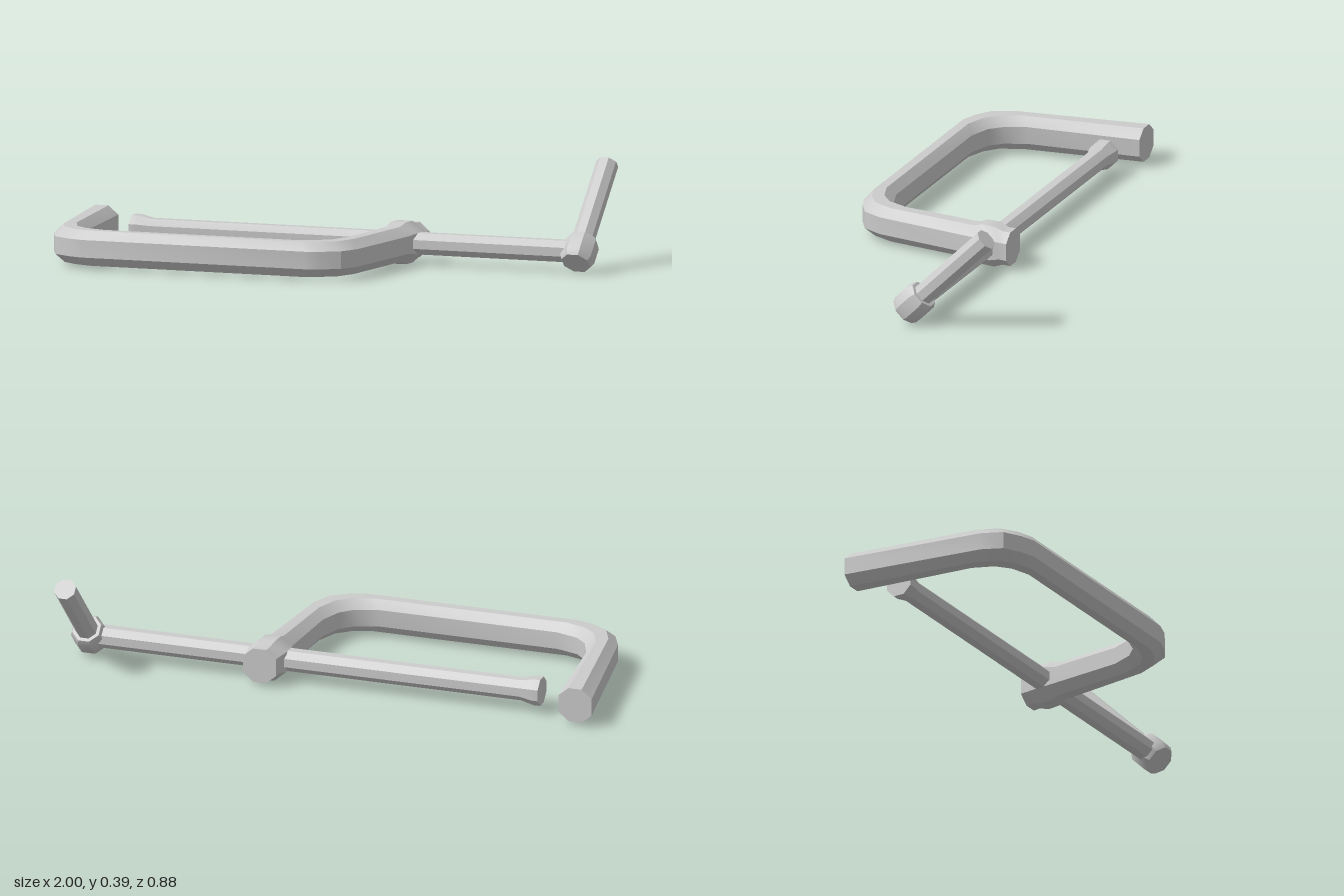
import * as THREE from 'three';
import { toCreasedNormals } from 'three/addons/utils/BufferGeometryUtils.js';

const MID_Y = 0.077, SCREW_Z = -0.127, FRAME_X = -0.337;
const material = new THREE.MeshStandardMaterial({ color: 0xcccccc });

function addMesh(parent, name, geometry) {
  const mesh = new THREE.Mesh(toCreasedNormals(geometry, 0.6), material);
  mesh.name = name;
  parent.add(mesh);
  return mesh;
}

// Closed solid through equal-sized rings of points, capped at both ends
function loft(rings) {
  const n = rings[0].length, index = [];
  for (let k = 0; k < rings.length - 1; k++) {
    for (let i = 0; i < n; i++) {
      const j = (i + 1) % n, a = k * n + i, b = k * n + j;
      index.push(a, b, b + n, a, b + n, a + n);
    }
  }
  const last = (rings.length - 1) * n;
  for (let i = 1; i < n - 1; i++) index.push(0, i + 1, i, last, last + i, last + i + 1);
  const geometry = new THREE.BufferGeometry();
  geometry.setAttribute('position', new THREE.Float32BufferAttribute(rings.flat(2), 3));
  geometry.setIndex(index);
  return geometry;
}

// Eight-sided turned bar along +y; profile is [flat radius, height] pairs
function octBar(profile) {
  const k = 1 / Math.cos(Math.PI / 8);
  return loft(profile.map(([r, y]) => Array.from({ length: 8 }, (_, i) => {
    const a = -(i + 0.5) * Math.PI / 4;
    return [r * k * Math.cos(a), y, r * k * Math.sin(a)];
  })));
}

// U-shaped frame: octagon sections spanning its outer and inner outlines
function frameGeometry() {
  const octagon = [[1, -0.5], [1, 0.5], [0.4, 1], [-0.4, 1], [-1, 0.5], [-1, -0.5], [-0.4, -1], [0.4, -1]];
  // [outer x, outer z, inner x, inner z], x measured from the frame's middle
  const half = [
    [0.663, -0.22, 0.537, -0.22],
    [0.585, 0.31, 0.50, 0.203],
    [0.55, 0.385, 0.468, 0.283],
    [0.485, 0.422, 0.425, 0.326],
    [0.43, 0.44, 0.34, 0.353],
  ];
  // Swelling of the left arm where the screw passes through
  const boss = [[-0.07, 1], [-0.105, 1.19], [-0.155, 1.19], [-0.19, 1]].map(([z, s]) =>
    [0.663 - 0.147 * (z + 0.22), z, 0.537 - 0.087 * (z + 0.22), z, s]);
  const mirrored = ([ox, oz, ix, iz]) => [-ox, oz, -ix, iz];
  const right = half.map(mirrored);
  const left = [...half].reverse();
  left.splice(-1, 0, ...boss);
  return loft([...right, ...left].map(([ox, oz, ix, iz, s = 1]) => octagon.map(([u, v]) => [
    FRAME_X + (ox + ix) / 2 + u * s * (ix - ox) / 2,
    MID_Y + v * s * 0.064,
    (oz + iz) / 2 + u * s * (iz - oz) / 2,
  ])));
}

export function createModel() {
  const model = new THREE.Group();
  model.name = 'clamp';

  addMesh(model, 'frame', frameGeometry());

  // Screw along x with a flared pressing pad
  const screw = addMesh(model, 'screw', octBar([[0.05, -0.78], [0.05, -0.755], [0.039, -0.705], [0.039, 0.92]]));
  screw.rotation.z = -Math.PI / 2;
  screw.position.set(0, MID_Y, SCREW_Z);

  // Tilted turning handle with its barrel-shaped hub
  const handle = new THREE.Group();
  handle.name = 'handle';
  handle.position.set(0.939, MID_Y, SCREW_Z);
  handle.rotation.x = -Math.PI / 4;
  addMesh(handle, 'hub', octBar([[0.05, -0.053], [0.059, -0.033], [0.059, 0.033], [0.05, 0.053]]));
  addMesh(handle, 'handleBar', octBar([[0.038, 0], [0.038, 0.4]]));
  model.add(handle);

  return model;
}
